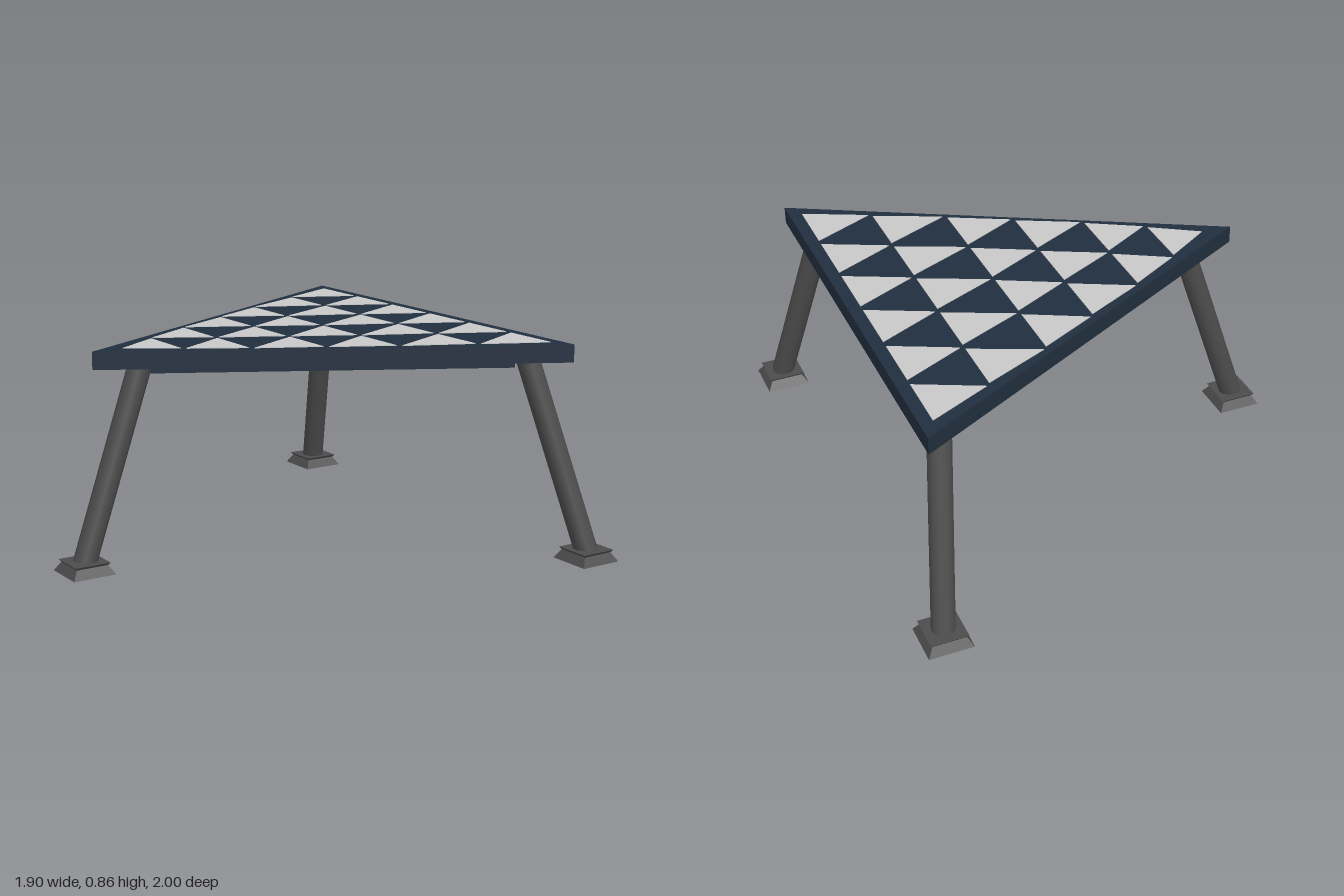
import * as THREE from 'three';

const mat = (name, color) => {
  const m = new THREE.MeshStandardMaterial({ color });
  m.name = name;
  return m;
};

// Horizontal triangular plate from three [x, z] corners, between heights y0 and y1
function plate(name, corners, y0, y1, material) {
  const shape = new THREE.Shape(corners.map(([x, z]) => new THREE.Vector2(x, -z)));
  const geo = new THREE.ExtrudeGeometry(shape, { depth: y1 - y0, bevelEnabled: false });
  geo.rotateX(-Math.PI / 2);
  geo.translate(0, y0, 0);
  const mesh = new THREE.Mesh(geo, material);
  mesh.name = name;
  return mesh;
}

// Square block with tapering sides, given as half widths
function squareBlock(name, bottom, top, y0, y1, material) {
  const geo = new THREE.CylinderGeometry(top * Math.SQRT2, bottom * Math.SQRT2, y1 - y0, 4).toNonIndexed();
  geo.rotateY(Math.PI / 4);
  geo.translate(0, (y0 + y1) / 2, 0);
  geo.computeVertexNormals();
  const mesh = new THREE.Mesh(geo, material);
  mesh.name = name;
  return mesh;
}

// Round rod between two points
function rod(name, a, b, radius, material) {
  const dir = b.clone().sub(a);
  const mesh = new THREE.Mesh(new THREE.CylinderGeometry(radius, radius, dir.length(), 12), material);
  mesh.position.copy(a).add(b).multiplyScalar(0.5);
  mesh.quaternion.setFromUnitVectors(new THREE.Vector3(0, 1, 0), dir.normalize());
  mesh.name = name;
  return mesh;
}

export function createModel() {
  const navy = mat('navy', 0x212e3e);
  const grey = mat('dark grey', 0x4c4c4c);
  const pale = mat('pale grey', 0xc8c8c8);
  const model = new THREE.Group();
  model.name = 'triangularTable';

  // Table top and the smaller triangular panel below it
  const corners = [[-0.815, 0.01], [0.795, -0.84], [0.795, 0.87]];
  const cx = 0.258, cz = 0.013, inset = 0.77;
  const inner = corners.map(([x, z]) => [cx + (x - cx) * inset, cz + (z - cz) * inset]);
  model.add(plate('tableTop', corners, 0.785, 0.855, navy));
  model.add(plate('underPanel', inner, 0.745, 0.787, navy));

  // Pale triangles in six columns, one more in each column
  const inlay = new THREE.Group();
  inlay.name = 'triangleInlay';
  const edges = [-0.705, -0.505, -0.285, -0.035, 0.21, 0.485, 0.745];
  const pitch = 0.262, half = 0.116;
  for (let col = 1; col < edges.length; col++) {
    for (let i = 0; i < col; i++) {
      const z = 0.018 + (i - (col - 1) / 2) * pitch;
      const tri = [[edges[col - 1] + 0.015, z], [edges[col], z - half], [edges[col], z + half]];
      inlay.add(plate('inlayTriangle', tri, 0.854, 0.858, pale));
    }
  }
  model.add(inlay);

  // Splayed legs on stepped square feet
  const legs = [
    { name: 'rightLeg', foot: [-0.863, 0], top: [-0.605, 0.005] },
    { name: 'frontLeftLeg', foot: [0.861, 0.911], top: [0.7, 0.705] },
    { name: 'backLeftLeg', foot: [0.795, -0.911], top: [0.7, -0.685] },
  ];
  for (const { name, foot, top } of legs) {
    const leg = new THREE.Group();
    leg.name = name;
    const a = new THREE.Vector3(foot[0], 0.035, foot[1]);
    const b = new THREE.Vector3(top[0], 0.8, top[1]);
    leg.add(rod('legRod', a, b, 0.046, grey));
    const base = new THREE.Group();
    base.name = 'foot';
    base.add(squareBlock('footBase', 0.0885, 0.066, 0, 0.036, grey));
    base.add(squareBlock('footLip', 0.066, 0.074, 0.036, 0.046, grey));
    base.position.set(foot[0], 0, foot[1]);
    leg.add(base);
    model.add(leg);
  }
  return model;
}
